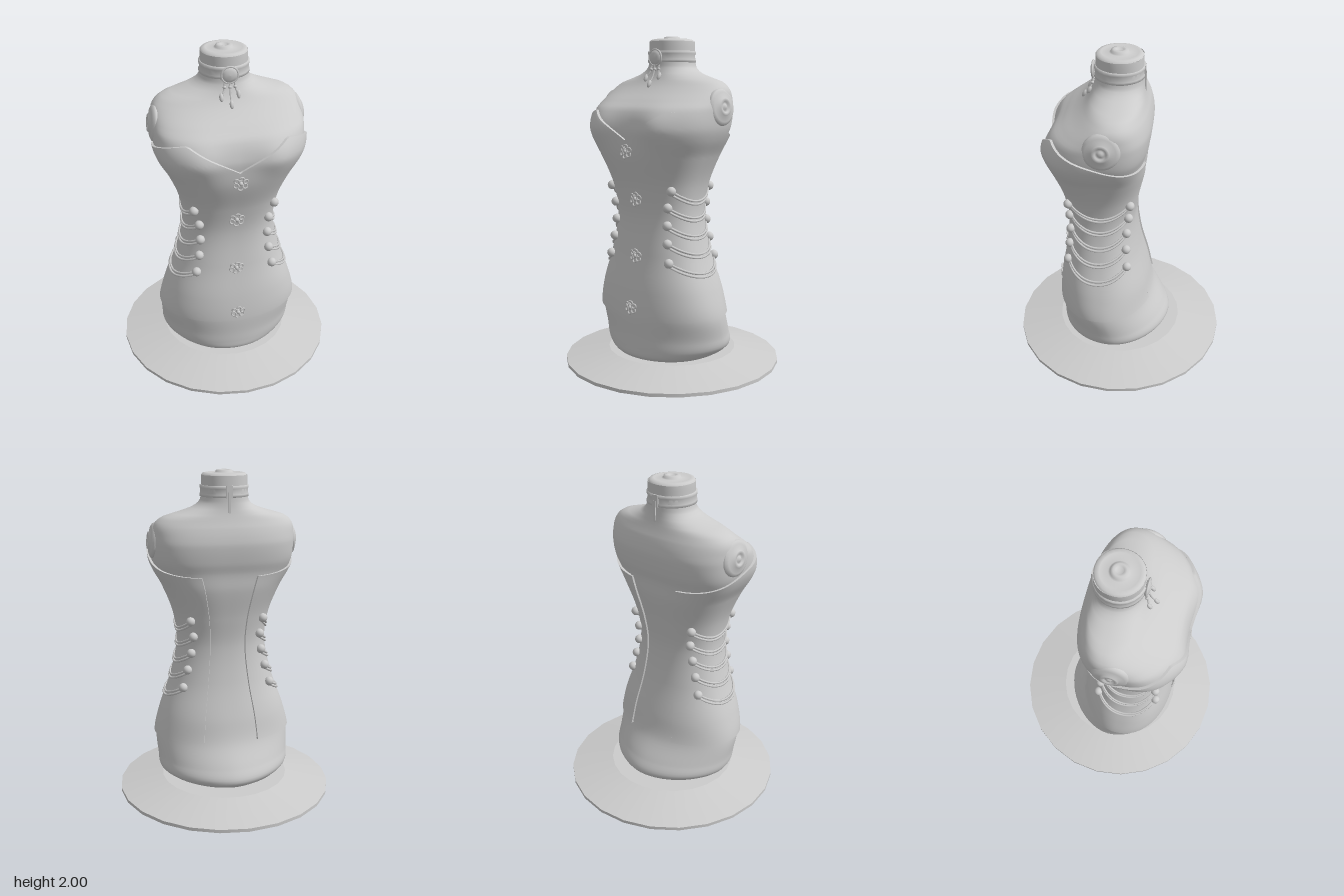
import * as THREE from 'three';
import { ParametricGeometry } from 'three/addons/geometries/ParametricGeometry.js';

const grey = new THREE.MeshStandardMaterial({ color: 0xcccccc, side: THREE.DoubleSide });
const mix = THREE.MathUtils.lerp;
const ease = THREE.MathUtils.smoothstep;

// Torso sections: height, half width, front z, back z
const SECTIONS = [
  [0.075, 0.31, 0.335, -0.25], [0.1, 0.36, 0.36, -0.31], [0.145, 0.41, 0.365, -0.335],
  [0.22, 0.42, 0.365, -0.3], [0.35, 0.425, 0.367, -0.225], [0.5, 0.387, 0.352, -0.185],
  [0.72, 0.31, 0.315, -0.13], [0.94, 0.265, 0.297, -0.105], [1.12, 0.283, 0.328, -0.125],
  [1.3, 0.35, 0.385, -0.158], [1.4, 0.405, 0.4, -0.166], [1.47, 0.43, 0.4, -0.183],
  [1.57, 0.438, 0.365, -0.195], [1.62, 0.435, 0.31, -0.19], [1.67, 0.427, 0.245, -0.178],
  [1.705, 0.405, 0.205, -0.165], [1.735, 0.36, 0.178, -0.155], [1.76, 0.27, 0.162, -0.148],
  [1.79, 0.185, 0.148, -0.142], [1.83, 0.143, 0.137, -0.138], [1.97, 0.135, 0.135, -0.135],
];

// Smooth section at a height, with its centre z and front and back squareness
function section(y) {
  let i = 0;
  while (i < SECTIONS.length - 2 && y > SECTIONS[i + 1][0]) i++;
  const at = (k) => SECTIONS[THREE.MathUtils.clamp(k, 0, SECTIONS.length - 1)];
  const [p, a, b, q] = [at(i - 1), at(i), at(i + 1), at(i + 2)];
  const h = b[0] - a[0], t = THREE.MathUtils.clamp((y - a[0]) / h, 0, 1);
  const [w, front, back] = [1, 2, 3].map((k) => {
    const m0 = (b[k] - p[k]) / (b[0] - p[0]) * h, m1 = (q[k] - a[k]) / (q[0] - a[0]) * h;
    return (1 + 2 * t) * (1 - t) ** 2 * a[k] + t * (1 - t) ** 2 * m0 + t * t * (3 - 2 * t) * b[k] + t * t * (t - 1) * m1;
  });
  const n = 2.05 + 0.4 * ease(y, 0.2, 0.6) + 0.4 * Math.exp(-(((y - 1.48) / 0.17) ** 2)) - 0.45 * ease(y, 1.57, 1.75);
  const nBack = n + mix(-0.25, 0.2, ease(y, 0.95, 1.45));
  return { w, mid: (front + back) / 2, depth: (front - back) / 2, n, nBack };
}

// Point on the torso: angle from the front towards +x, height, outward offset
function surface(angle, y, offset = 0, out = new THREE.Vector3()) {
  const { w, mid, depth, n, nBack } = section(y);
  const s = Math.sin(angle), c = Math.cos(angle);
  const e = c > 0 ? n : nBack;
  const r = (Math.abs(s) ** e + Math.abs(c) ** e) ** (-1 / e);
  const x = (w + offset) * r * s;
  let z = mid + (depth + offset) * r * c;
  if (c > 0) z += 0.035 * c * Math.exp(-(((Math.abs(x) - 0.23) / 0.12) ** 2) - ((y - 1.48) / 0.11) ** 2);
  return out.set(x, y, z);
}

function add(parent, name, geometry, x = 0, y = 0, z = 0) {
  const mesh = new THREE.Mesh(geometry, grey);
  mesh.name = name;
  mesh.position.set(x, y, z);
  parent.add(mesh);
  return mesh;
}
const sheet = (fn, u, v) => new ParametricGeometry(fn, u, v);
const lathe = (pts, sides) => new THREE.LatheGeometry(pts.map((p) => new THREE.Vector2(...p)), sides);
const tube = (pts, r, n) => new THREE.TubeGeometry(new THREE.CatmullRomCurve3(pts), n, r, 6);

// Corset hems: sweetheart neckline, gently bowed bottom
function topHem(a) {
  const p = surface(a, 1.47);
  return Math.min(1.4 + 0.61 * Math.abs(p.x), 1.39 + 0.316 * (p.z + 0.17));
}
const bottomHem = (a) => 0.335 + 0.025 * Math.min(1, Math.abs(Math.sin(a / 2)) * 1.4);

function addCorset(group) {
  const corset = new THREE.Group();
  corset.name = 'corset';
  group.add(corset);
  const end = Math.PI - 0.4, thick = 0.014;
  const angle = (u) => mix(-end, end, u);
  add(corset, 'corsetShell', sheet((u, v, p) => {
    const a = angle(u);
    surface(a, mix(bottomHem(a), topHem(a), v), thick, p);
  }, 120, 60));
  for (const hem of [topHem, bottomHem]) {
    add(corset, 'corsetHem', sheet((u, v, p) => surface(angle(u), hem(angle(u)), thick * v, p), 120, 1));
  }
  for (const a of [-end, end]) {
    add(corset, 'corsetBackEdge', sheet((u, v, p) => surface(a, mix(bottomHem(a), topHem(a), u), thick * v, p), 50, 1));
  }
  // Recessed panel behind the back opening
  add(corset, 'backPanel', sheet((u, v, p) => {
    const a = mix(end - 0.05, 2 * Math.PI - end + 0.05, u);
    surface(a, mix(bottomHem(Math.PI) + 0.01, topHem(a) + 0.005, v), 0.004, p);
  }, 20, 50));
}

function addSideLacing(group) {
  // Height, front button x, rear button z
  const rows = [[1.11, 0.24, -0.085], [1.01, 0.21, -0.075], [0.905, 0.205, -0.065], [0.8, 0.215, -0.065], [0.69, 0.235, -0.073]];
  for (const side of [1, -1]) {
    for (const [y, x, z] of rows) {
      const { w, mid, depth, n, nBack } = section(y);
      const u = x / (w + 0.025), d = (mid - z) / (depth + 0.025);
      const a0 = Math.atan2(u, (1 - u ** n) ** (1 / n));
      const a1 = Math.atan2((1 - d ** nBack) ** (1 / nBack), -d);
      for (const a of [a0, a1]) {
        const p = surface(side * a, y, 0.025);
        add(group, 'laceButton', new THREE.SphereGeometry(0.028, 16, 12), p.x, p.y, p.z);
      }
      for (const drop of [0, 0.02]) {
        const pts = Array.from({ length: 11 }, (_, i) => {
          const t = i / 10;
          return surface(side * mix(a0, a1, t), y - drop - 0.28 * t * (1 - t), 0.018);
        });
        add(group, 'sideLace', tube(pts, 0.007, 30));
      }
    }
  }
}

function addClasps(group) {
  for (const y of [1.335, 1.05, 0.71, 0.405]) {
    const clasp = new THREE.Group();
    clasp.name = 'frontClasp';
    surface(0.015, y, 0.02, clasp.position);
    group.add(clasp);
    add(clasp, 'claspKnot', new THREE.SphereGeometry(0.013, 10, 8));
    for (let i = 0; i < 6; i++) {
      const a = i * Math.PI / 3 + 0.4;
      const loop = add(clasp, 'claspLoop', new THREE.TorusGeometry(0.014, 0.005, 6, 12),
        0.03 * Math.cos(a), 0.027 * Math.sin(a), 0);
      loop.rotation.set(0.3 * Math.sin(a), 0.3 * Math.cos(a), a);
    }
  }
}

function addChoker(group) {
  const choker = new THREE.Group();
  choker.name = 'choker';
  group.add(choker);
  add(choker, 'chokerBand', lathe([[0.134, 1.845], [0.145, 1.847], [0.145, 1.862], [0.141, 1.866], [0.141, 1.892],
    [0.145, 1.896], [0.145, 1.912], [0.134, 1.914]], 24));
  const disc = add(choker, 'pendantDisc', lathe([[0, -0.012], [0.045, -0.012], [0.045, 0.002], [0.025, 0.012], [0, 0.014]], 24), 0, 1.873, 0.15);
  disc.rotation.x = Math.PI / 2;
  add(choker, 'pendantRing', new THREE.TorusGeometry(0.047, 0.006, 8, 28), 0, 1.873, 0.15);
  // Hanging drops follow the throat
  for (const [x, low] of [[-0.03, 1.735], [0, 1.7], [0.03, 1.745]]) {
    const on = (y) => surface(x / 0.17, y, 0.012);
    add(choker, 'dropChain', tube([on(1.835), on(mix(1.835, low, 0.5)), on(low + 0.03)], 0.005, 16));
    const p = on(low + 0.02);
    const drop = add(choker, 'drop', new THREE.SphereGeometry(0.012, 10, 8), p.x, p.y, p.z);
    drop.scale.y = 2;
    drop.rotation.x = -0.5;
    const q = on(1.805);
    add(choker, 'dropBead', new THREE.SphereGeometry(0.01, 10, 8), q.x, q.y, q.z);
  }
  // Strap tail and keeper at the nape
  add(choker, 'strapTail', new THREE.BoxGeometry(0.012, 0.12, 0.008), 0, 1.82, -0.146);
  add(choker, 'strapKeeper', new THREE.BoxGeometry(0.04, 0.07, 0.008), 0, 1.88, -0.143);
}

export function createModel() {
  const model = new THREE.Group();
  model.name = 'dressForm';

  // Stand
  add(model, 'baseSlope', new THREE.CylinderGeometry(0.4, 0.67, 0.06, 24), 0, 0.05, 0);
  add(model, 'baseRim', new THREE.CylinderGeometry(0.67, 0.67, 0.02, 24), 0, 0.01, 0);

  // Torso and neck
  add(model, 'torso', sheet((u, v, p) => surface(mix(-Math.PI, Math.PI, u), mix(0.075, 1.97, v), 0, p), 80, 120));
  add(model, 'neckCap', lathe([[0.135, 1.968], [0.127, 1.98], [0.105, 1.985], [0.1, 1.977], [0.06, 1.982], [0.05, 1.986],
    [0.048, 1.996], [0.036, 2], [0.022, 1.998], [0.018, 1.99], [0, 1.99]], 24));

  // Shoulder discs
  for (const side of [1, -1]) {
    const disc = add(model, 'shoulderDisc', lathe([[0.104, -0.06], [0.107, -0.012], [0.103, 0], [0.085, 0.01], [0.054, 0.014],
      [0.05, 0.025], [0.034, 0.025], [0.03, 0.016], [0.018, 0.016], [0.012, 0.024], [0, 0.024]], 28), side * 0.43, 1.588, 0.055);
    disc.rotation.z = -side * (Math.PI / 2 - 0.1);
  }

  addCorset(model);
  addSideLacing(model);
  addClasps(model);
  addChoker(model);
  return model;
}
